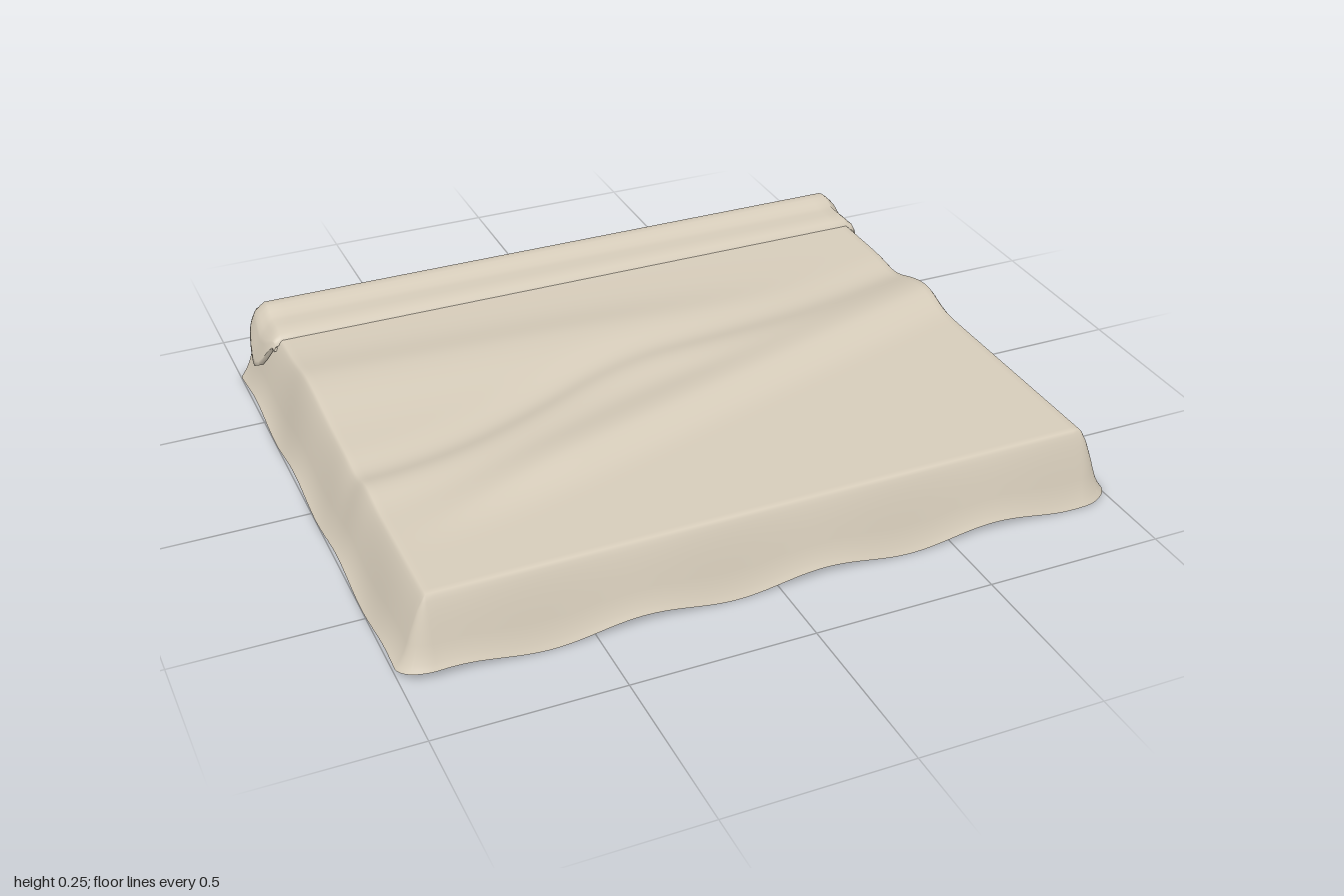
import * as THREE from 'three';

const X = 0.91, FRONT = 0.74, BACK = -0.765, TOP = 0.215;
const { lerp, smoothstep, clamp } = THREE.MathUtils;
const gauss = (d, s) => Math.exp(-(d * d) / (2 * s * s));

// Piecewise-linear lookup through [input, output] pairs
function lookup(points, t) {
  let i = 1;
  while (i < points.length - 1 && t > points[i][0]) i++;
  const [a, p] = points[i - 1], [b, q] = points[i];
  return lerp(p, q, clamp((t - a) / (b - a), 0, 1));
}

// Smooth sheet from a rule (i, j) -> [x, y, z]; i runs along x, j along z
function sheet(nx, nz, rule) {
  const pos = [], index = [];
  for (let i = 0; i <= nx; i++) {
    for (let j = 0; j <= nz; j++) {
      pos.push(...rule(i, j));
      if (i < nx && j < nz) {
        const a = i * (nz + 1) + j, c = a + nz + 1;
        index.push(a, a + 1, c, a + 1, c + 1, c);
      }
    }
  }
  const g = new THREE.BufferGeometry();
  g.setAttribute('position', new THREE.Float32BufferAttribute(pos, 3));
  g.setIndex(index);
  g.computeVertexNormals();
  return g;
}

// Wrinkles running diagonally over the top
const VALLEY = [[-1, 0.18], [-0.7, 0.16], [-0.4, 0.05], [-0.1, -0.1], [0.3, -0.13], [0.6, -0.18], [1, -0.28]];
function softValley(x) {
  let sum = 0;
  for (let k = -3; k <= 3; k++) sum += lookup(VALLEY, x + k * 0.05);
  return sum / 7;
}
function topHeight(x, z) {
  const valley = softValley(x);
  const main = 0.21 - 0.31 * x;
  const d = z - main;
  const ridge = 0.034 * smoothstep(x, -0.95, -0.35) * gauss(d, d > 0 ? 0.055 : 0.085);
  const small = 0.014 * (1 - smoothstep(x, 0.1, 0.7)) * gauss(z - valley - 0.09, 0.05);
  const e = z - (-0.23 + 0.06 * x);
  const back = 0.026 * (1 - smoothstep(x, -0.2, 0.9)) * gauss(e, e < 0 ? 0.09 : 0.13);
  const dip = -0.012 * gauss(z - valley, 0.05);
  return TOP + ridge + small + back + dip;
}

// Skirt: share of the drop -> share of the outward flare
const FLARE = [[0, 0], [0.04, 0.08], [0.2, 0.26], [0.5, 0.5], [0.75, 0.67], [0.9, 0.84], [1, 1]];
const STEPS = [0, 0.04, 0.1, 0.2, 0.35, 0.5, 0.65, 0.78, 0.9, 0.96, 1];
const K = STEPS.length - 1;

// Grid index -> top coordinate and signed skirt step
function axis(i, n, lo, hi) {
  const t = clamp(i - K, 0, n);
  return [lerp(lo, hi, t / n), i < K ? i - K : Math.max(0, i - K - n)];
}

function hem(x, z, dx, dz) {
  const front = 0.016 - 0.014 * Math.cos((x + 0.12) * Math.PI * 4);
  const side = x > 0
    ? 0.018 + 0.012 * Math.cos(z * Math.PI * 2 / 0.56)
    : 0.016 + 0.012 * Math.cos((z - 0.25) * Math.PI * 2 / 0.42);
  return front * dz * dz + side * dx * dx;
}

function cover() {
  const NX = 90, NZ = 80;
  return sheet(NX + 2 * K, NZ + 2 * K, (i, j) => {
    const [x, si] = axis(i, NX, -X, X);
    const [z, sj] = axis(j, NZ, BACK, FRONT);
    const y = topHeight(x, z);
    const step = Math.max(Math.abs(si), Math.abs(sj));
    if (!step) return [x, y, z];
    const len = Math.hypot(si, sj), dx = si / len, dz = sj / len;
    const f = STEPS[step], out = lookup(FLARE, f);
    // The back only has a short lip, so the underside is open there
    const lip = dz < 0 ? smoothstep(-dz, 0.78, 1) : 0;
    const bottom = lerp(hem(x, z, dx, dz), TOP - 0.035, lip);
    return [x + dx * 0.09 * out, lerp(y, bottom, f), z + dz * (dz < 0 ? 0.035 : 0.06) * out];
  });
}

// Folded-back band: z, y across its section, tucked in at both edges
const SECTION = [[-0.785, 0.205], [-0.785, 0.222], [-0.775, 0.234], [-0.76, 0.246], [-0.74, 0.252], [-0.72, 0.251],
  [-0.7, 0.243], [-0.68, 0.236], [-0.66, 0.234], [-0.63, 0.235], [-0.605, 0.234], [-0.585, 0.229], [-0.572, 0.222], [-0.568, 0.205]];
const TIP = [[-0.785, 0.02], [-0.775, 0.055], [-0.75, 0.085], [-0.72, 0.11], [-0.69, 0.13], [-0.66, 0.135], [-0.63, 0.12],
  [-0.605, 0.09], [-0.585, 0.05], [-0.568, 0.02]];

function foldedBand() {
  const NX = 40, E = 10;
  return sheet(NX + 2 * E, SECTION.length - 1, (i, j) => {
    const [z, y] = SECTION[j];
    const x = lerp(-X, X, clamp(i - E, 0, NX) / NX);
    const s = i < E ? E - i : Math.max(0, i - E - NX);
    if (!s) return [x, y, z];
    // Ends drape down the sides to a rounded tip, last row tucks in
    const f = Math.min(s / (E - 1), 1);
    const drop = lookup(TIP, z) * f;
    const out = 0.09 * lookup(FLARE, drop / 0.2) + 0.014 * Math.min(1, f * 3) - (s === E ? 0.016 : 0);
    return [x + Math.sign(x) * out, y - drop, z];
  });
}

export function createModel() {
  const group = new THREE.Group();
  group.name = 'blanket';
  const cloth = new THREE.MeshStandardMaterial({ color: 0xd6ccba, side: THREE.DoubleSide });
  cloth.name = 'beige cloth';
  for (const [name, geometry] of [['cover', cover()], ['foldedBand', foldedBand()]]) {
    const mesh = new THREE.Mesh(geometry, cloth);
    mesh.name = name;
    group.add(mesh);
  }
  return group;
}
